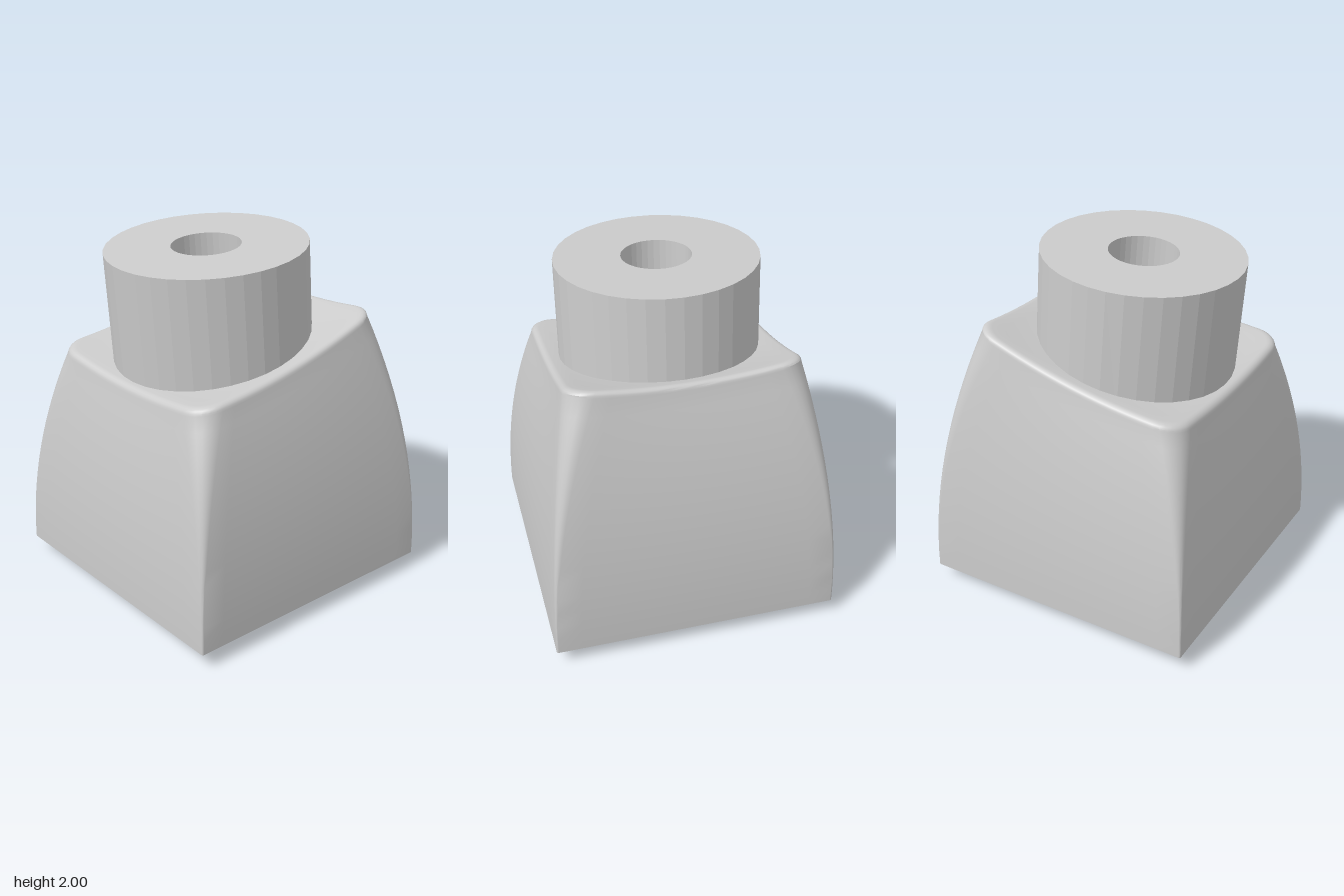
import * as THREE from 'three';
import { toCreasedNormals } from 'three/addons/utils/BufferGeometryUtils.js';

const BASE = 0.09;
const ARC = 6, EDGE = 12;

// Height of the sloping, dished top
const topY = (x, z) => {
  const s = 0.62 - z;
  return 1.3 + 0.048 * s + 0.156 * s * s + 0.05 * (x / 0.6) ** 2;
};

// Rounded rectangle as [x, z] points with evenly split edges
function outline(hx, front, back, r) {
  const corners = [[1, 1, front], [-1, 1, front], [-1, -1, back], [1, -1, back]];
  const arcs = corners.map(([sx, sz, hz], q) =>
    Array.from({ length: ARC + 1 }, (_, i) => {
      const a = (q + i / ARC) * Math.PI / 2;
      return [sx * (hx - r) + r * Math.cos(a), sz * (hz - r) + r * Math.sin(a)];
    }));
  const points = [];
  arcs.forEach((arc, q) => {
    points.push(...arc);
    const from = arc[ARC], to = arcs[(q + 1) % 4][0];
    for (let i = 1; i < EDGE; i++) {
      const t = i / EDGE;
      points.push([from[0] + (to[0] - from[0]) * t, from[1] + (to[1] - from[1]) * t]);
    }
  });
  return points;
}

// Skin a list of equal-length rings
function loft(rings) {
  const n = rings[0].length, index = [];
  for (let i = 0; i < rings.length - 1; i++) {
    for (let j = 0; j < n; j++) {
      const k = (j + 1) % n, a = i * n, b = a + n;
      index.push(a + j, b + j, a + k, a + k, b + j, b + k);
    }
  }
  const geo = new THREE.BufferGeometry();
  geo.setAttribute('position', new THREE.Float32BufferAttribute(rings.flat(2), 3));
  geo.setIndex(index);
  return toCreasedNormals(geo, 0.5);
}

function capGeometry() {
  const level = (pts, y, k = 1) => pts.map(([x, z]) => [x * k, y, z * k]);
  const ceiling = outline(0.5, 0.54, 0.46, 0.005);
  const rings = [
    level(ceiling, 1.1, 0), level(ceiling, 1.1),
    level(outline(0.64, 0.64, 0.64, 0.005), BASE),
  ];
  // Bowed walls, with corners that get rounder towards the top
  const top = outline(0.635, 0.665, 0.57, 0.14);
  const fillet = 0.04, steps = 16;
  for (let i = 0; i <= steps; i++) {
    const v = i / steps, w = v * v;
    const pts = outline(0.8 - 0.165 * w, 0.8 - 0.135 * w, 0.8 - 0.23 * w, 0.01 + 0.13 * w);
    rings.push(pts.map(([x, z], j) =>
      [x, BASE + v * (topY(...top[j]) - fillet - BASE), z]));
  }
  // Soft rim, then the dished surface closing at the centre
  const inset = (k, drop) => top.map(([x, z]) => {
    const px = x * k, pz = 0.05 + (z - 0.05) * k;
    return [px, topY(px, pz) - drop, pz];
  });
  for (let i = 1; i <= 5; i++) {
    const a = i / 5 * Math.PI / 2;
    rings.push(inset(1 - 0.065 * (1 - Math.cos(a)), fillet * (1 - Math.sin(a))));
  }
  for (const k of [0.85, 0.7, 0.5, 0.25, 0]) rings.push(inset(k, 0));
  return loft(rings);
}

// Round post outline with a cross-shaped socket
function stemShape() {
  const shape = new THREE.Shape().absarc(0, 0, 0.245, 0, Math.PI * 2);
  const l = 0.19, w = 0.06;
  const cross = [];
  for (let q = 0; q < 4; q++) {
    for (const [x, y] of [[l, -w], [l, w], [w, w]]) {
      const p = new THREE.Vector2(x, y);
      cross.push(p.rotateAround(new THREE.Vector2(), q * Math.PI / 2));
    }
  }
  shape.holes.push(new THREE.Path(cross));
  return shape;
}

export function createModel() {
  const model = new THREE.Group();
  const material = new THREE.MeshStandardMaterial({ color: 0xcccccc });
  const add = (name, geometry, parent = model) => {
    const mesh = new THREE.Mesh(geometry, material);
    mesh.name = name;
    parent.add(mesh);
    return mesh;
  };

  add('capShell', capGeometry());

  // Tilted drum with a blind hole
  const profile = [[0, -0.7], [0.55, -0.7], [0.55, 0], [0.19, 0], [0.19, -0.5], [0, -0.5]]
    .map(([x, y]) => new THREE.Vector2(x, y));
  const drumGeo = new THREE.LatheGeometry(profile, 36).toNonIndexed();
  drumGeo.computeVertexNormals();
  const drum = add('topDrum', drumGeo);
  drum.position.set(0, 1.96, 0.107);
  drum.rotation.x = THREE.MathUtils.degToRad(4.2);

  // Underside stem: socketed end, solid upper part and centre peg
  const stem = new THREE.Group();
  stem.name = 'stem';
  model.add(stem);
  const socket = new THREE.ExtrudeGeometry(stemShape(),
    { depth: 0.36, bevelEnabled: false, curveSegments: 24 });
  socket.rotateX(-Math.PI / 2).translate(0, BASE, 0);
  add('stemSocket', toCreasedNormals(socket, 0.5), stem);
  add('stemPost', new THREE.CylinderGeometry(0.245, 0.245, 0.66, 48), stem).position.y = 0.78;
  add('stemPeg', new THREE.BoxGeometry(0.18, 0.45, 0.18), stem).position.y = 0.225;

  return model;
}
